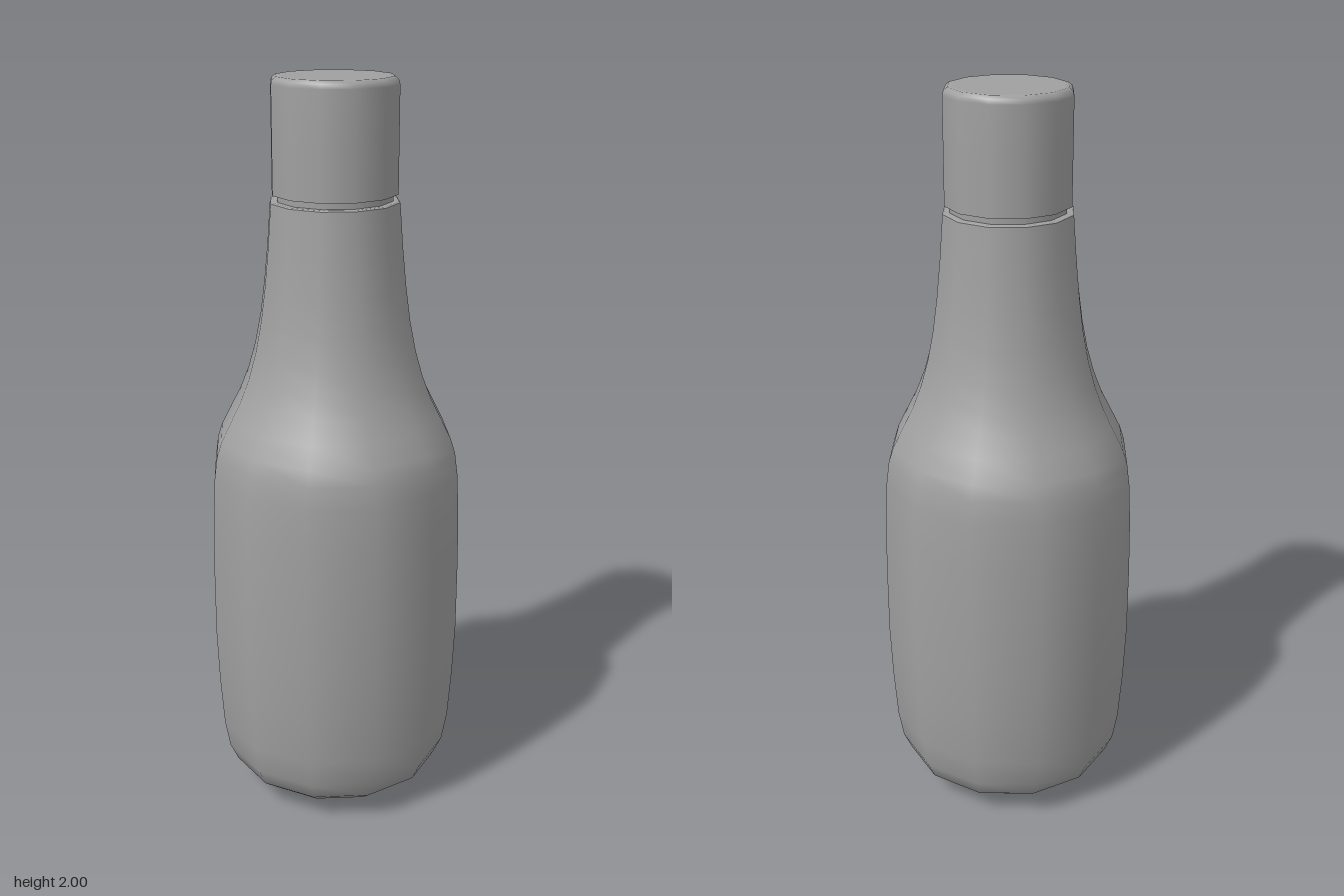
import * as THREE from 'three';

const SIDES = 12;

// Revolve a bottom-to-top [radius, height] profile into a named smooth mesh.
function turned(name, profile, material) {
  const points = profile.map(([r, y]) => new THREE.Vector2(r, y));
  const geometry = new THREE.LatheGeometry(points, SIDES);
  geometry.normalizeNormals();
  const mesh = new THREE.Mesh(geometry, material);
  mesh.name = name;
  return mesh;
}

export function createModel() {
  const group = new THREE.Group();
  group.name = 'bottle';
  const material = new THREE.MeshStandardMaterial({ color: 0xa0a0a0 });

  // Body: slightly domed base, full belly, shoulder and tapering neck
  group.add(turned('body', [
    [0, 0], [0.09, 0.006], [0.18, 0.019], [0.25, 0.045], [0.295, 0.08],
    [0.318, 0.13], [0.332, 0.21], [0.342, 0.35], [0.348, 0.5], [0.348, 0.7],
    [0.345, 0.85], [0.339, 0.96], [0.331, 1.02], [0.318, 1.06],
    [0.29, 1.115], [0.262, 1.17], [0.238, 1.23], [0.218, 1.3],
    [0.202, 1.38], [0.19, 1.47], [0.18, 1.57], [0.171, 1.688],
  ], material));

  // Flat ledge at the top of the neck
  group.add(turned('neckRim', [[0.171, 1.688], [0.167, 1.691], [0.145, 1.691]], material));

  // Recessed ring between neck and cap
  group.add(turned('neckRing', [[0.153, 1.68], [0.153, 1.72]], material));

  // Cap: underside, straight wall with a soft upper edge, flat top
  group.add(turned('capUnderside', [[0, 1.708], [0.166, 1.708]], material));
  group.add(turned('cap', [
    [0.166, 1.708], [0.166, 1.85], [0.166, 1.98], [0.163, 1.992],
    [0.153, 2], [0.14, 2], [0, 2],
  ], material));

  return group;
}
